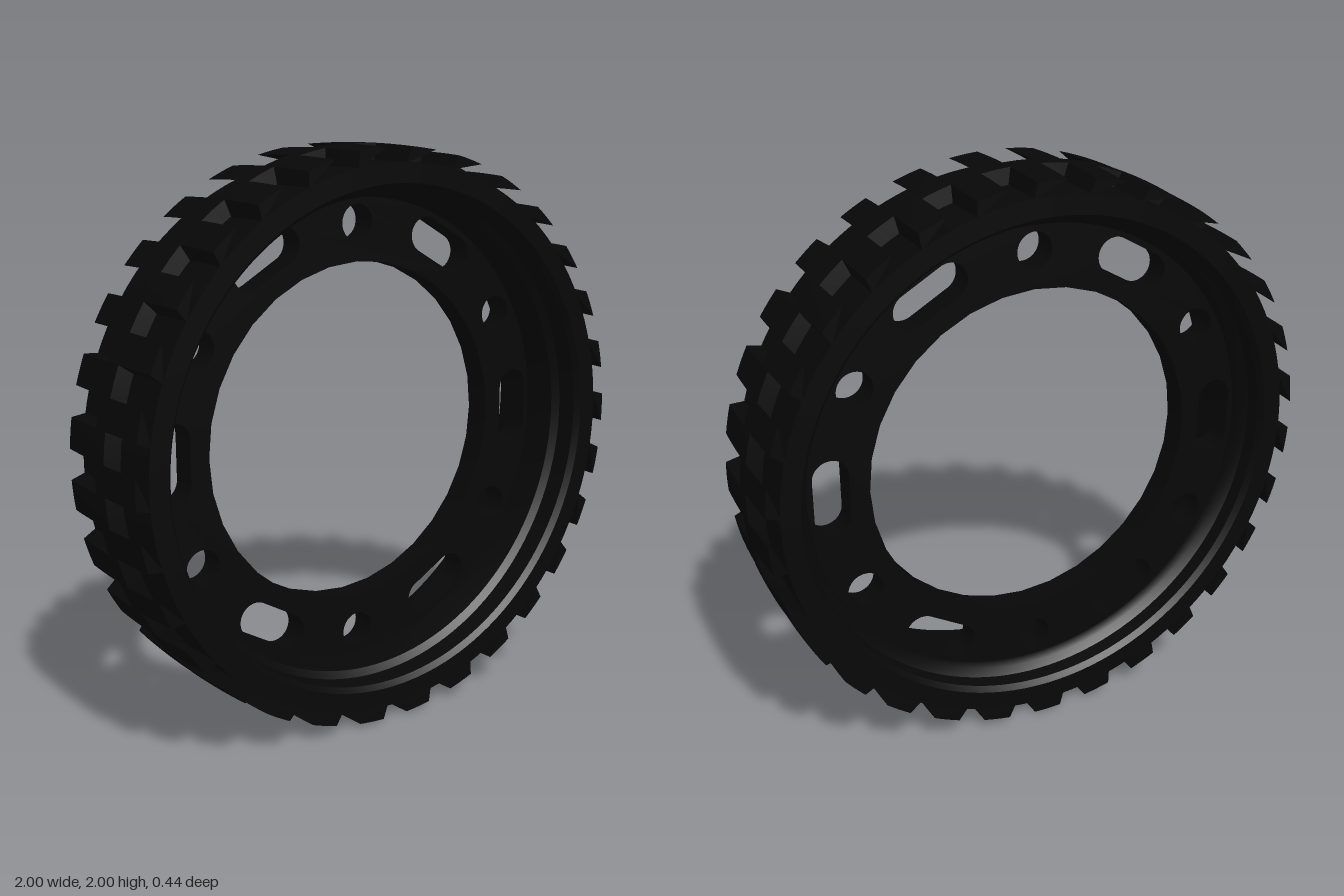
import * as THREE from 'three';
import { toCreasedNormals } from 'three/addons/utils/BufferGeometryUtils.js';

const HALF = 0.22;    // half the tyre width
const FLOOR = 0.945;  // radius at the bottom of the tread grooves
const LUGS = 30;      // lugs per side

const rubber = new THREE.MeshStandardMaterial({ color: 0x070707 });

function addMesh(parent, name, geometry) {
  const mesh = new THREE.Mesh(geometry, rubber);
  mesh.name = name;
  parent.add(mesh);
  return mesh;
}

// Closed ring turned about z from [radius, z] points, counterclockwise
function ring(points) {
  const profile = [...points, points[0]].map(([r, z]) => new THREE.Vector2(r, z));
  return toCreasedNormals(new THREE.LatheGeometry(profile, 120).rotateX(Math.PI / 2), 0.5);
}

// Stadium-shaped hole lying along the tangent; length 0 gives a round hole
function hole(angle, radius, halfWidth, halfLength) {
  const cx = Math.cos(angle) * radius, cy = Math.sin(angle) * radius;
  const tx = -Math.sin(angle) * halfLength, ty = Math.cos(angle) * halfLength;
  const path = new THREE.Path();
  path.absarc(cx + tx, cy + ty, halfWidth, angle, angle + Math.PI, false);
  path.absarc(cx - tx, cy - ty, halfWidth, angle + Math.PI, angle + 2 * Math.PI, false);
  path.closePath();
  return path;
}

// One lug: a tapered sector with a slightly crowned top, from the centre to the edge
function lugGeometry() {
  const base = THREE.MathUtils.degToRad(3.9), top = THREE.MathUtils.degToRad(3);
  const inner = FLOOR - 0.003;
  const shape = new THREE.Shape();
  shape.moveTo(Math.cos(base) * inner, -Math.sin(base) * inner);
  shape.absarc(0, 0, 1, -top, top, false);
  shape.lineTo(Math.cos(base) * inner, Math.sin(base) * inner);
  shape.closePath();
  const geometry = new THREE.ExtrudeGeometry(shape, { depth: HALF, steps: 4, bevelEnabled: false, curveSegments: 3 });
  const p = geometry.attributes.position;
  for (let i = 0; i < p.count; i++) {
    if (Math.hypot(p.getX(i), p.getY(i)) < 0.97) continue;
    const s = 1 - 0.008 * (p.getZ(i) / HALF) ** 2;
    p.setXY(i, p.getX(i) * s, p.getY(i) * s);
  }
  return toCreasedNormals(geometry, 0.5);
}

export function createModel() {
  const model = new THREE.Group();
  model.name = 'tyre';
  const wheel = new THREE.Group();
  wheel.name = 'tyreBody';
  wheel.position.y = 1;
  model.add(wheel);

  // Carcass with stepped side walls around the web
  addMesh(wheel, 'carcass', ring([
    [FLOOR, -HALF], [FLOOR, HALF],
    [0.877, HALF], [0.861, 0.2], [0.856, 0.13], [0.833, 0.11], [0.82, 0],
    [0.82, -0.1], [0.833, -0.13], [0.856, -0.15], [0.861, -0.2], [0.877, -HALF],
  ]));

  // Band around the centre of the tread
  addMesh(wheel, 'centreBand', ring([
    [0.935, -0.04], [0.999, -0.03], [1, 0], [0.999, 0.03], [0.935, 0.04],
  ]));

  // Staggered lugs, front and back
  const lug = lugGeometry();
  for (const side of [1, -1]) {
    const row = new THREE.Group();
    row.name = side > 0 ? 'frontLugs' : 'backLugs';
    for (let i = 0; i < LUGS; i++) {
      const mesh = addMesh(row, 'lug', lug);
      const angle = (i + (side > 0 ? 0 : 0.5)) * 2 * Math.PI / LUGS;
      // Back lugs are turned over about their own radial axis
      mesh.rotation.set(side > 0 ? 0 : Math.PI, 0, angle, 'ZXY');
    }
    wheel.add(row);
  }

  // Web with alternating slots and round holes
  const web = new THREE.Shape();
  web.absarc(0, 0, 0.835, 0, 2 * Math.PI, false);
  const bore = new THREE.Path();
  bore.absarc(0, 0, 0.603, 0, 2 * Math.PI, true);
  web.holes.push(bore);
  for (let i = 0; i < 12; i++) {
    web.holes.push(hole(i * Math.PI / 6, 0.735, 0.063, i % 2 ? 0 : 0.077));
  }
  const webGeometry = new THREE.ExtrudeGeometry(web, { depth: 0.095, bevelEnabled: false, curveSegments: 16 });
  addMesh(wheel, 'web', toCreasedNormals(webGeometry.translate(0, 0, -0.1), 0.5));

  return model;
}
